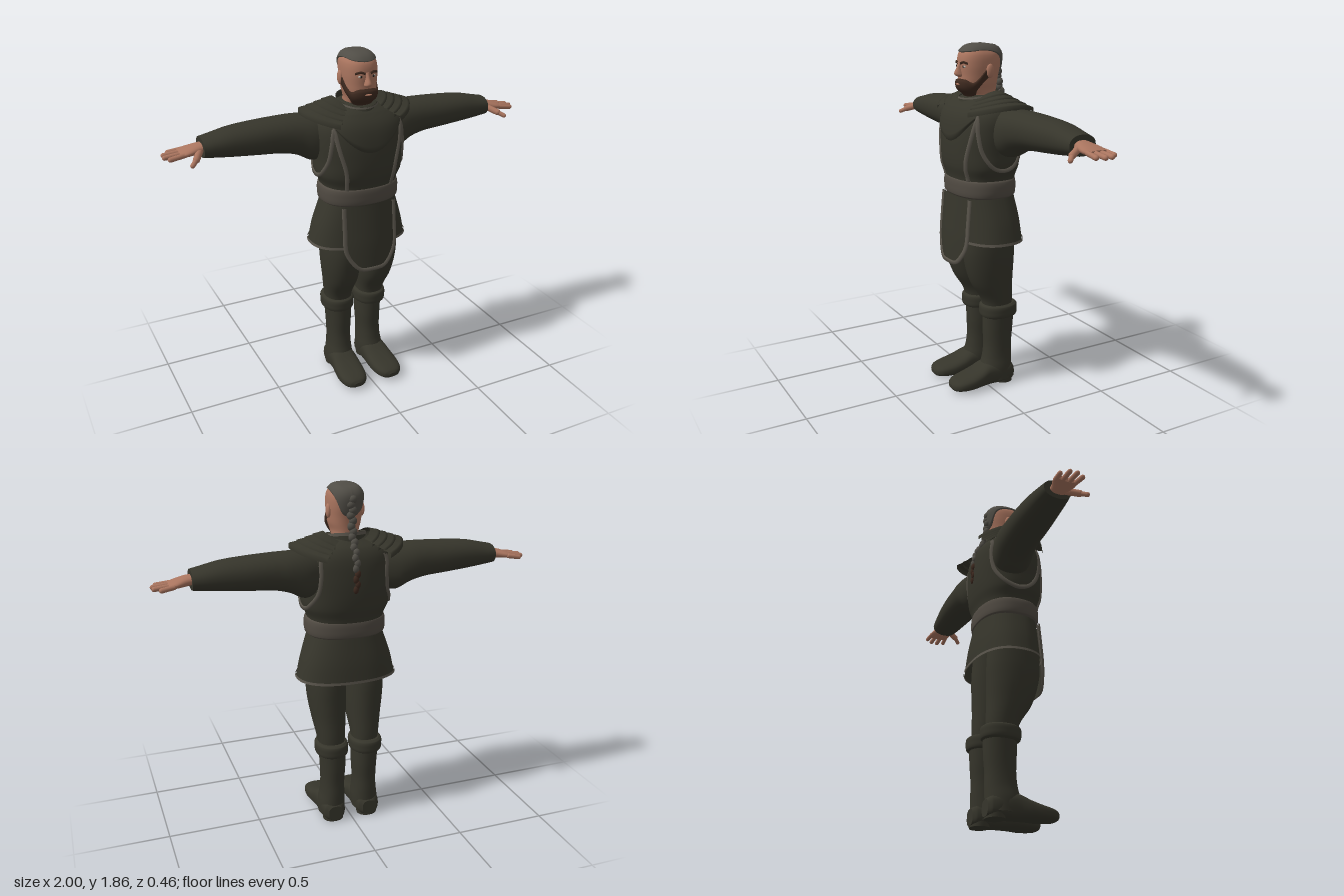
import * as THREE from 'three';

const material = (name, color) => {
  const m = new THREE.MeshStandardMaterial({ color, side: THREE.DoubleSide });
  m.name = name;
  return m;
};
const cloth = material('dark cloth', 0x36352b), trim = material('grey trim', 0x59544b);
const leather = material('belt leather', 0x504a42), skin = material('skin', 0xaa755f);
const hairGrey = material('grey hair', 0x504d46), brown = material('brown beard', 0x3c281e);
const eyeWhite = material('eye white', 0xb8b0a6), eyeDark = material('eye dark', 0x241c18);

// Smooth lookup in rows [t, a, b, ...] sorted by t
function at(k, t) {
  const n = k.length - 1;
  let i = 0;
  while (i < n - 1 && t > k[i + 1][0]) i++;
  const a = k[i], b = k[i + 1], h = b[0] - a[0];
  const u = Math.min(1, Math.max(0, (t - a[0]) / h)), u2 = u * u, u3 = u2 * u;
  const slope = (j, c) => {
    const p = k[Math.max(0, j - 1)], q = k[Math.min(n, j + 1)];
    return (q[c] - p[c]) / (q[0] - p[0]);
  };
  return a.map((_, c) => c === 0 ? t : (2 * u3 - 3 * u2 + 1) * a[c] + (u3 - 2 * u2 + u) * h * slope(i, c)
    + (3 * u2 - 2 * u3) * b[c] + (u3 - u2) * h * slope(i + 1, c));
}

function build(name, mat, pos, idx) {
  const g = new THREE.BufferGeometry();
  g.setAttribute('position', new THREE.Float32BufferAttribute(pos, 3));
  g.setIndex(idx);
  g.computeVertexNormals();
  const m = new THREE.Mesh(g, mat);
  m.name = name;
  return m;
}

const place = { x: (t, u, v) => [t, u, v], y: (t, u, v) => [u, t, v], z: (t, u, v) => [u, v, t] };
const pow = (v, p) => Math.sign(v) * Math.abs(v) ** p;

// Closed rounded sections [along, centre1, centre2, radius1, radius2] skinned along an axis
function loft(name, mat, secs, { axis = 'y', e = 2.2, n = 32, caps = true, steps = 5 } = {}) {
  const pos = [], idx = [], rows = [];
  secs.forEach((s, i) => {
    if (i) for (let k = 1; k <= steps; k++) rows.push(at(secs, secs[i - 1][0] + (s[0] - secs[i - 1][0]) * k / steps));
    else rows.push(s);
  });
  const tri = (a, b, c) => axis === 'y' ? idx.push(a, b, c) : idx.push(a, c, b);
  const ring = ([t, c1, c2, r1, r2]) => {
    for (let j = 0; j < n; j++) {
      const a = j / n * Math.PI * 2;
      pos.push(...place[axis](t, c1 + r1 * pow(Math.cos(a), 2 / e), c2 + r2 * pow(Math.sin(a), 2 / e)));
    }
  };
  rows.forEach(ring);
  for (let i = 0; i < rows.length - 1; i++) for (let j = 0; j < n; j++) {
    const a = i * n + j, b = i * n + (j + 1) % n;
    tri(a, a + n, b);
    tri(b, a + n, b + n);
  }
  if (caps) [rows[0], rows[rows.length - 1]].forEach((r, end) => {
    const base = pos.length / 3;
    ring(r);
    pos.push(...place[axis](r[0], r[1], r[2]));
    for (let j = 0; j < n; j++) {
      const a = base + j, b = base + (j + 1) % n;
      end ? tri(a, base + n, b) : tri(a, b, base + n);
    }
  });
  return build(name, mat, pos, idx);
}

// Open sheet from a rule (u, v) -> [x, y, z]
function panel(name, mat, nu, nv, fn) {
  const pos = [], idx = [];
  for (let i = 0; i <= nu; i++) for (let j = 0; j <= nv; j++) pos.push(...fn(i / nu, j / nv));
  for (let i = 0; i < nu; i++) for (let j = 0; j < nv; j++) {
    const a = i * (nv + 1) + j, b = a + nv + 1;
    idx.push(a, b, a + 1, b, b + 1, a + 1);
  }
  return build(name, mat, pos, idx);
}

// Points on a loft: by angle from the front, by x on the front, by z on the left side
const E = 2.4;
function around(secs, a, y, off = 0) {
  const [, cx, cz, rx, rz] = at(secs, y);
  return [cx + (rx + off) * pow(Math.sin(a), 2 / E), y, cz + (rz + off) * pow(Math.cos(a), 2 / E)];
}
const bulge = q => Math.max(0, 1 - Math.min(1, Math.abs(q)) ** E) ** (1 / E);
function onFront(secs, x, y) {
  const [, , cz, rx, rz] = at(secs, y);
  return new THREE.Vector3(x, y, cz + rz * bulge(x / rx));
}
function onSide(secs, z, y) {
  const [, , cz, rx, rz] = at(secs, y);
  return new THREE.Vector3(rx * bulge((z - cz) / rz), y, z);
}
const outward = secs => p => {
  const [, , cz, rx, rz] = at(secs, p.y);
  return new THREE.Vector3(p.x / rx ** 2, 0, (p.z - cz) / rz ** 2).normalize();
};

// Raised band along a 2D path laid on a surface
function ribbon(name, mat, path, width, surface, normal, lift = 0.008) {
  const N = 48, pts = new THREE.CatmullRomCurve3(path.map(p => new THREE.Vector3(p[0], p[1], 0)))
    .getSpacedPoints(N).map(p => surface(p.x, p.y));
  const cross = [[-0.5, -0.006], [-0.42, lift], [0.42, lift], [0.5, -0.006]];
  return panel(name, mat, N, 3, (u, v) => {
    const i = Math.round(u * N), [s, l] = cross[Math.round(v * 3)], out = normal(pts[i]);
    const t = pts[Math.min(N, i + 1)].clone().sub(pts[Math.max(0, i - 1)]);
    const side = out.clone().cross(t).normalize();
    return pts[i].clone().addScaledVector(side, s * width).addScaledVector(out, l).toArray();
  });
}

function ball(name, mat, [x, y, z], [rx, ry, rz]) {
  const m = new THREE.Mesh(new THREE.SphereGeometry(1, 18, 12).scale(rx, ry, rz).translate(x, y, z), mat);
  m.name = name;
  return m;
}

function capsule(name, mat, a, b, r) {
  const A = new THREE.Vector3(...a), d = new THREE.Vector3(...b).sub(A), len = d.length();
  const q = new THREE.Quaternion().setFromUnitVectors(new THREE.Vector3(0, 1, 0), d.clone().normalize());
  const g = new THREE.CapsuleGeometry(r, len, 5, 12).applyQuaternion(q);
  const c = A.addScaledVector(d, 0.5);
  const m = new THREE.Mesh(g.translate(c.x, c.y, c.z), mat);
  m.name = name;
  return m;
}

function mirrored(m) {
  const g = m.geometry.clone().scale(-1, 1, 1), ix = g.index.array;
  for (let i = 0; i < ix.length; i += 3) [ix[i], ix[i + 1]] = [ix[i + 1], ix[i]];
  const r = new THREE.Mesh(g, m.material);
  r.name = m.name.replace('left', 'right');
  return r;
}

const TORSO = [[1.1, 0, -.02, .195, .155], [1.18, 0, -.02, .205, .163], [1.24, 0, -.02, .23, .178], [1.32, 0, -.022, .235, .185],
  [1.42, 0, -.025, .243, .183], [1.5, 0, -.03, .238, .17], [1.55, 0, -.035, .2, .143], [1.585, 0, -.035, .12, .105], [1.6, 0, -.035, .085, .085]];
const SKIRT = [[.84, 0, -.033, .268, .174], [.95, 0, -.03, .243, .168], [1.08, 0, -.02, .2, .157]];
const HEAD = [[1.54, 0, -.03, .066, .07], [1.6, 0, -.025, .068, .077], [1.625, 0, -.012, .07, .092], [1.66, 0, -.008, .08, .1],
  [1.7, 0, -.01, .085, .105], [1.75, 0, -.014, .089, .113], [1.8, 0, -.018, .086, .112], [1.83, 0, -.02, .071, .094],
  [1.846, 0, -.02, .05, .066], [1.854, 0, -.02, .02, .026]];

export function createModel() {
  const model = new THREE.Group();
  const add = (...m) => model.add(...m);
  const both = (...ms) => ms.forEach(m => add(m, mirrored(m)));
  const turn = Math.PI * 2;

  // Tunic, belt and skirt
  add(loft('torso', cloth, TORSO, { e: E, n: 48 }));
  add(loft('skirt', cloth, SKIRT, { e: E, n: 48, caps: false }));
  add(loft('belt', leather, [[1.078, 0, -.018, .2, .154], [1.088, 0, -.018, .211, .164], [1.13, 0, -.018, .215, .167],
    [1.164, 0, -.018, .211, .164], [1.176, 0, -.018, .2, .155]], { e: E, n: 48 }));
  add(panel('hemTrim', trim, 64, 2, (u, v) => around(SKIRT, u * turn, .84 + v * .014, .005)));

  // Apron hanging over the skirt
  const apronZ = [[.7, .174], [.85, .17], [.95, .162], [1.08, .15]];
  const apronW = [[.715, .07], [.76, .118], [.82, .147], [.95, .145], [1.08, .138]];
  const apronAt = (x, y) => new THREE.Vector3(x, y, at(apronZ, y)[1] - 1.5 * x * x);
  add(panel('apron', cloth, 16, 24, (u, v) => {
    const y = .715 + v * .365;
    return apronAt((u * 2 - 1) * at(apronW, y)[1], y).toArray();
  }));
  const edge = [[.142, 1.075], [.143, .95], [.14, .83], [.112, .77], [.07, .727]];
  add(ribbon('apronTrim', trim, [...edge, [0, .722], ...edge.map(([x, y]) => [-x, y]).reverse()], .022, apronAt,
    () => new THREE.Vector3(0, 0, 1), .006));

  // Chest bib and tunic trims
  add(panel('chestBib', cloth, 28, 10, (u, v) => {
    const x = (u * 2 - 1) * .175, low = 1.365 + 4.2 * x * x, y = low + v * (1.56 - low);
    const p = onFront(TORSO, x, y);
    return p.addScaledVector(outward(TORSO)(p), v === 0 ? -.004 : .011).toArray();
  }));
  both(
    ribbon('leftChestTrim', trim, [[.185, 1.5], [.168, 1.4], [.138, 1.28], [.125, 1.17]], .022,
      (x, y) => onFront(TORSO, x, y), outward(TORSO)),
    ribbon('leftArmholeTrim', trim, [[.095, 1.52], [.1, 1.42], [.08, 1.32], [.03, 1.25], [-.03, 1.23], [-.095, 1.25],
      [-.15, 1.32], [-.168, 1.42], [-.16, 1.52]], .022, (z, y) => onSide(TORSO, z, y), outward(TORSO)));

  // Standing collar
  const collar = (u, v) => {
    const a = u * turn, back = (1 - Math.cos(a)) / 2, r = 1 + .1 * (1 - v);
    return [.102 * r * Math.sin(a), 1.545 + v * (.04 + .042 * back), -.025 + .112 * r * Math.cos(a)];
  };
  add(panel('collar', cloth, 48, 4, collar));
  add(panel('collarTrim', trim, 48, 2, (u, v) => {
    const p = collar(u, .82 + .2 * v);
    return [p[0] * 1.04, p[1], -.025 + (p[2] + .025) * 1.04];
  }));

  // Overlapping shoulder plates
  for (let k = 0; k < 4; k++) both(panel('leftShoulderPlate' + (k + 1), cloth, 20, 5, (u, v) => {
    const a = (u * 2 - 1) * .98, w = Math.min(1, v / .8), r = .122 + .041 * k + .053 * w;
    const y = 1.622 - (r - .13) * .36 + .006 * w - .055 * Math.sin(a) ** 2 - (v > .9 ? .022 : 0);
    return [r * Math.cos(a), y, -.05 + .78 * r * Math.sin(a)];
  }));

  // Sleeves and hands
  both(loft('leftSleeve', cloth, [[.14, 1.43, -.06, .1, .09], [.24, 1.422, -.075, .122, .11], [.32, 1.442, -.085, .105, .108],
    [.4, 1.452, -.087, .094, .103], [.53, 1.455, -.088, .085, .1], [.66, 1.455, -.088, .074, .09], [.76, 1.45, -.088, .058, .08],
    [.808, 1.448, -.088, .05, .073]], { axis: 'x' }));
  both(loft('leftPalm', skin, [[.78, 1.45, -.085, .026, .04], [.83, 1.445, -.085, .025, .048], [.88, 1.437, -.09, .02, .06],
    [.918, 1.431, -.094, .013, .056]], { axis: 'x', n: 20 }));
  [[-.143, -.15, .955], [-.111, -.115, .985], [-.078, -.077, .988], [-.047, -.04, .97]].forEach(([z0, z1, x], i) =>
    both(capsule('leftFinger' + (i + 1), skin, [.895, 1.433, z0], [x, 1.424, z1], .0125)));
  both(capsule('leftThumbBase', skin, [.825, 1.438, -.05], [.858, 1.42, .005], .017),
    capsule('leftThumbTip', skin, [.858, 1.42, .005], [.884, 1.404, .032], .012));

  // Legs and boots
  both(loft('leftLeg', cloth, [[.42, .096, -.075, .068, .078], [.5, .098, -.068, .076, .088], [.6, .1, -.036, .09, .118],
    [.7, .104, -.02, .1, .136], [.8, .107, -.014, .103, .144], [.95, .107, -.015, .1, .135]]));
  both(loft('leftBootShaft', cloth, [[.03, .1, -.075, .07, .082], [.1, .097, -.068, .072, .09], [.16, .094, -.075, .066, .084],
    [.23, .093, -.079, .064, .08], [.32, .092, -.081, .068, .085], [.43, .095, -.083, .072, .088]]));
  both(loft('leftBootCuff', cloth, [[.395, .098, -.08, .072, .088], [.404, .098, -.08, .085, .101], [.432, .098, -.08, .089, .105],
    [.462, .098, -.08, .087, .103], [.472, .098, -.08, .074, .09]]));
  both(loft('leftFoot', cloth, [[-.162, .1, .05, .04, .042], [-.14, .1, .058, .06, .055], [-.07, .1, .066, .07, .064],
    [0, .1, .068, .072, .064], [.06, .103, .056, .078, .05], [.12, .106, .046, .079, .041], [.18, .108, .041, .068, .032],
    [.21, .108, .038, .046, .023], [.221, .108, .037, .02, .01]], { axis: 'z', e: 2.7 }));
  both(loft('leftHeel', cloth, [[0, .1, -.11, .056, .05], [.04, .1, -.108, .06, .053]]));

  // Head and face
  add(loft('head', skin, HEAD, { e: E, n: 40 }));
  add(loft('nose', skin, [[1.69, 0, .092, .01, .012], [1.7, 0, .098, .019, .025], [1.712, 0, .1, .017, .027],
    [1.735, 0, .097, .011, .019], [1.765, 0, .09, .01, .012]], { n: 16 }));
  both(ball('leftEar', skin, [.09, 1.722, -.03], [.013, .036, .022]));
  both(ball('leftEye', eyeWhite, [.034, 1.744, .0895], [.014, .006, .008]),
    ball('leftIris', eyeDark, [.034, 1.744, .0955], [.006, .006, .004]));
  both(ribbon('leftEyebrow', brown, [[.014, 1.759], [.035, 1.766], [.058, 1.759]], .012,
    (x, y) => onFront(HEAD, x, y), outward(HEAD), .006));

  // Beard with sideburns
  const beardTop = [[0, 1.683], [.5, 1.68], [.95, 1.665], [1.3, 1.69], [1.65, 1.745]];
  const beardLow = [[0, 1.575], [.5, 1.582], [.95, 1.61], [1.3, 1.64], [1.65, 1.69]];
  add(panel('beard', brown, 40, 12, (u, v) => {
    const a = (u * 2 - 1) * 1.65, t = Math.abs(a), lo = at(beardLow, t)[1], hi = at(beardTop, t)[1];
    const front = Math.max(0, Math.cos(a)), y = lo + v * (hi - lo);
    return around(HEAD, a, y, (v === 1 ? -.003 : .006) + .016 * front * Math.sin(Math.PI * v) ** .7);
  }));
  add(ball('mouth', skin, [0, 1.654, .108], [.019, .005, .008]));

  // Hair cap over shaved sides, and a long braid
  const hairLine = [[0, 1.812], [.8, 1.818], [1.57, 1.822], [2.25, 1.79], [2.7, 1.715], [3.15, 1.695]];
  add(panel('hairCap', hairGrey, 56, 14, (u, v) => {
    const a = (u * 2 - 1) * Math.PI, lo = at(hairLine, Math.abs(a))[1], y = lo + v * (1.854 - lo);
    const p = around(HEAD, a, y, v === 0 ? -.002 : v === 1 ? -.02 : .007);
    p[1] += .006 * v;
    return p;
  }));
  const braid = new THREE.CatmullRomCurve3([[1.79, -.128], [1.7, -.13], [1.6, -.15], [1.52, -.192], [1.44, -.205], [1.35, -.205]]
    .map(([y, z]) => new THREE.Vector3(0, y, z)));
  for (let i = 0; i < 18; i++) {
    const p = braid.getPointAt(i / 17), r = .023 - .008 * i / 17;
    add(ball(i > 13 ? 'braidTip' : 'braidStrand', i > 13 ? brown : hairGrey,
      [(i % 2 ? 1 : -1) * .005, p.y, p.z], [r, .022, r * .85]));
  }
  return model;
}
